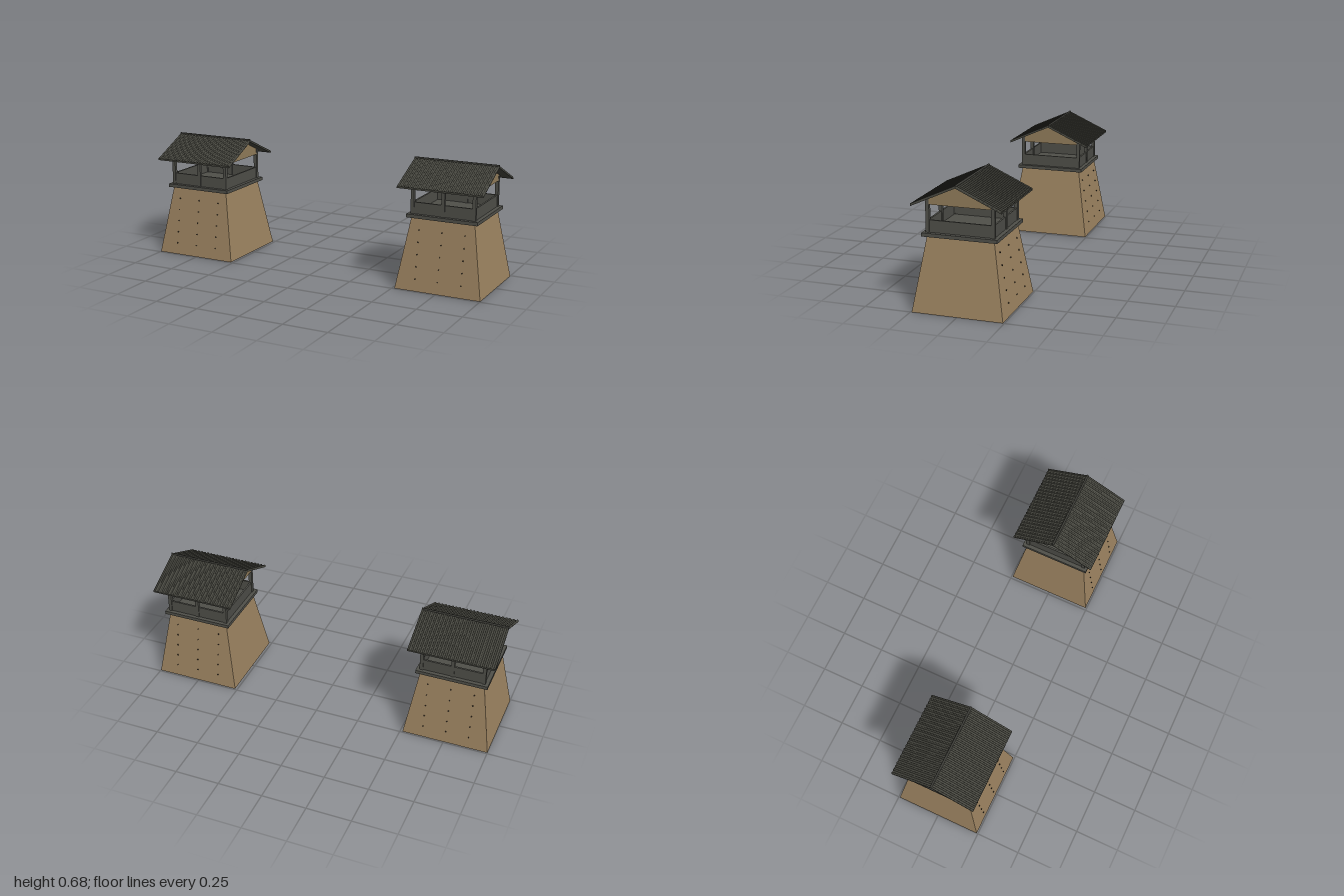
import * as THREE from 'three';

const mat = (name, color, extra = {}) => new THREE.MeshStandardMaterial({ name, color, ...extra });

export function createModel() {
  const earth = mat('rammed earth', 0x9c8360, { flatShading: true });
  const gableTan = mat('gable boards', 0x947f5c);
  const timber = mat('grey timber', 0x50504a);
  const tile = mat('roof tile', 0x4a4a42);
  const ridgeDark = mat('ridge tile', 0x3b3b36);
  const pegBrown = mat('dark peg', 0x3a3024);

  const BASE = 0.243, TOP = 0.178, WALL_H = 0.39;   // tapered body
  const RIDGE = 0.662, SLOPE = 0.455, EAVE = 0.238; // roof underside
  const POST = 0.173;                               // post and parapet line
  const under = (z) => RIDGE - SLOPE * Math.abs(z);

  const add = (parent, name, geo, material, x = 0, y = 0, z = 0) => {
    const mesh = new THREE.Mesh(geo, material);
    mesh.name = name;
    mesh.position.set(x, y, z);
    parent.add(mesh);
    return mesh;
  };
  const box = (parent, name, material, w, h, d, x, y, z) =>
    add(parent, name, new THREE.BoxGeometry(w, h, d), material, x, y, z);

  // Extrudes a (z, y) outline along x, centred
  const alongX = (points, length) => {
    const shape = new THREE.Shape(points.map(([z, y]) => new THREE.Vector2(z, y)));
    return new THREE.ExtrudeGeometry(shape, { depth: length, bevelEnabled: false })
      .translate(0, 0, -length / 2).rotateY(-Math.PI / 2);
  };

  function buildTower() {
    const tower = new THREE.Group();

    // Tapered earth body
    const body = new THREE.CylinderGeometry(TOP * Math.SQRT2, BASE * Math.SQRT2, WALL_H, 4)
      .rotateY(Math.PI / 4);
    add(tower, 'towerBody', body, earth, 0, WALL_H / 2, 0);

    // Peg ends on the front and back faces
    const tilt = Math.atan((BASE - TOP) / WALL_H);
    for (const s of [1, -1])
      for (let row = 1; row <= 5; row++)
        for (const x of [-0.13, 0, 0.13]) {
          const y = row * 0.065;
          const z = BASE - (BASE - TOP) * y / WALL_H;
          const peg = new THREE.CylinderGeometry(0.0038, 0.0038, 0.012, 8).rotateX(Math.PI / 2);
          add(tower, 'peg', peg, pegBrown, x, y, s * (z - 0.002)).rotation.x = -s * tilt;
        }

    // Platform and parapet
    box(tower, 'platform', timber, 0.4, 0.019, 0.4, 0, 0.3995, 0);
    for (const s of [1, -1]) {
      box(tower, 'parapetLong', timber, 2 * POST, 0.064, 0.01, 0, 0.441, s * POST);
      box(tower, 'parapetSide', timber, 0.01, 0.064, 2 * POST, s * POST, 0.441, 0);
    }

    // Corner and middle posts, front and back
    for (const s of [1, -1])
      for (const x of [-POST, 0, POST])
        box(tower, 'post', timber, 0.019, 0.175, 0.019, x, 0.4965, s * POST);

    // Gable walls under the roof
    const gable = alongX([[-0.18, 0.553], [0.18, 0.553], [0.18, under(0.18)],
      [0, RIDGE], [-0.18, under(0.18)]], 0.012);
    for (const s of [1, -1]) add(tower, 'gable', gable, gableTan, s * 0.176, 0, 0);

    // Roof slab
    const t = 0.008;
    add(tower, 'roofSlab', alongX([[-EAVE, under(EAVE)], [0, RIDGE], [EAVE, under(EAVE)],
      [EAVE, under(EAVE) + t], [0, RIDGE + t], [-EAVE, under(EAVE) + t]], 0.48), tile);

    // Rounded tile ribs running down both slopes
    const ribs = 24, angle = Math.atan(SLOPE), length = EAVE / Math.cos(angle);
    const rib = new THREE.CylinderGeometry(0.0052, 0.0052, length, 8).rotateX(Math.PI / 2);
    for (const s of [1, -1])
      for (let i = 0; i < ribs; i++) {
        const x = -0.2345 + (0.469 * i) / (ribs - 1);
        add(tower, 'tileRib', rib, tile, x, under(EAVE / 2) + t, s * EAVE / 2).rotation.x = s * angle;
      }

    // Ridge cap
    add(tower, 'ridgeCap', new THREE.CylinderGeometry(0.006, 0.006, 0.48, 10)
      .rotateZ(Math.PI / 2), ridgeDark, 0, RIDGE + 0.01, 0);
    return tower;
  }

  const model = new THREE.Group();
  model.name = 'watchtowers';
  for (const [name, x] of [['leftTower', 0.757], ['rightTower', -0.757]]) {
    const tower = buildTower();
    tower.name = name;
    tower.position.x = x;
    model.add(tower);
  }
  return model;
}
